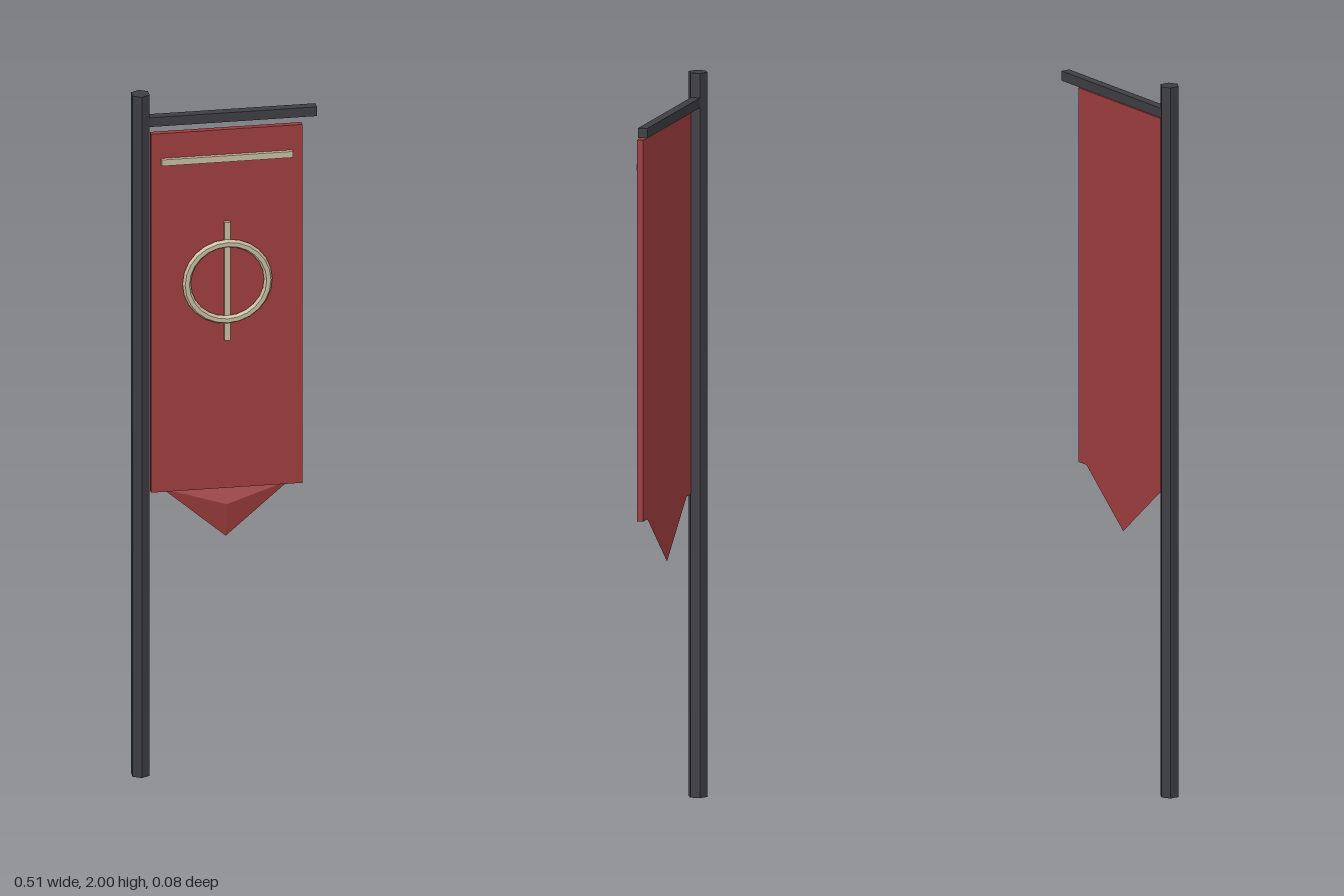
import * as THREE from 'three';

export function createModel() {
  const model = new THREE.Group();
  model.name = 'banner';

  const material = (name, color) => {
    const m = new THREE.MeshStandardMaterial({ color, flatShading: true });
    m.name = name;
    return m;
  };
  const iron = material('dark iron', 0x3d3d42);
  const red = material('red cloth', 0x9c3c3c);
  const trim = material('pale trim', 0xc4b99f);

  const add = (name, geometry, mat, x, y, z) => {
    const mesh = new THREE.Mesh(geometry, mat);
    mesh.name = name;
    mesh.position.set(x, y, z);
    model.add(mesh);
    return mesh;
  };
  const box = (name, mat, w, h, d, x, y, z) =>
    add(name, new THREE.BoxGeometry(w, h, d), mat, x, y, z);

  const cx = 0.0025; // middle of the cloth

  // Hexagonal pole and the arm that carries the cloth
  add('pole', new THREE.CylinderGeometry(0.027, 0.027, 2, 6), iron, -0.23, 1, -0.0125);
  box('crossbar', iron, 0.483, 0.027, 0.026, 0.012, 1.919, -0.013);

  // Cloth panel
  box('cloth', red, 0.416, 1.053, 0.017, cx, 1.3645, 0.0085);

  // Pointed tail: a flat three-sided pyramid facing forward, one corner down
  const tail = new THREE.ConeGeometry(0.1, 0.018, 3);
  tail.rotateX(Math.PI / 2); // base corner now points down, apex to the front
  tail.scale(2, 1, 1);
  add('clothTail', tail, red, cx, 0.79, 0.009);

  // Pale stripe and ring emblem
  box('topStripe', trim, 0.361, 0.018, 0.011, cx, 1.809, 0.0225);
  box('emblemBar', trim, 0.016, 0.347, 0.011, cx, 1.4485, 0.0225);
  add('emblemRing', new THREE.TorusGeometry(0.112, 0.0115, 6, 24), trim, cx, 1.449, 0.028);

  return model;
}
